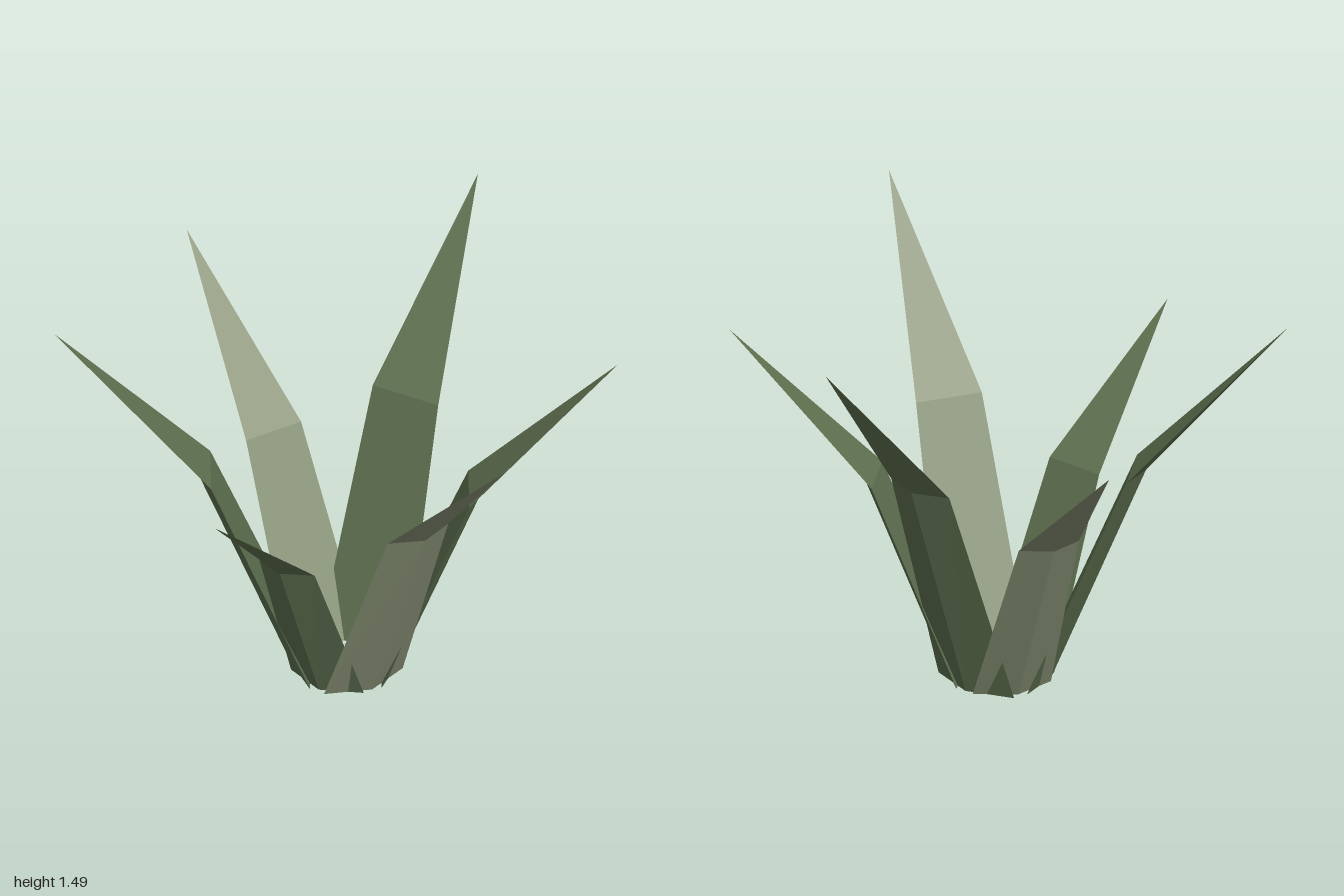
import * as THREE from 'three';

// Base ring shared by all leaves
const CENTRE = { x: -0.02, z: -0.02 };
const BASE_RADIUS = 0.125;

// Tip position, then radius, height and half width at the bend
const LEAVES = [
  { tip: [0.93, 1.49, -0.14], bend: [0.435, 0.87, 0.13] },
  { tip: [0.55, 1.25, 0.74], bend: [0.43, 0.73, 0.115] },
  { tip: [-0.46, 1.45, 0.99], bend: [0.5, 0.84, 0.122], pale: true },
  { tip: [-0.93, 1.11, 0.08], bend: [0.41, 0.65, 0.112] },
  { tip: [-0.63, 1.4, -0.83], bend: [0.468, 0.82, 0.12] },
  { tip: [0.39, 1.21, -1.0], bend: [0.48, 0.7, 0.112], pale: true },
];

// Triangular section: flat inner side, keel on the outer side
function section(halfWidth, y, radius, keel) {
  return [[-halfWidth, y, radius], [0, y, radius + keel], [halfWidth, y, radius]];
}

// Leaf growing outward along +z: base section, bend section, pointed tip
function leafGeometry([bendRadius, bendY, halfWidth], tipRadius, tipY) {
  const base = section(halfWidth * 1.3, 0, BASE_RADIUS, 0.06);
  const bend = section(halfWidth, bendY, bendRadius, 0.05);
  const tip = [0, tipY, tipRadius];
  const corners = [base[0], base[2], base[1]];
  for (let i = 0; i < 3; i++) {
    const j = (i + 1) % 3;
    corners.push(base[i], base[j], bend[j], base[i], bend[j], bend[i]);
    corners.push(bend[i], bend[j], tip);
  }
  const geometry = new THREE.BufferGeometry();
  geometry.setAttribute('position', new THREE.Float32BufferAttribute(corners.flat(), 3));
  geometry.computeVertexNormals();
  return geometry;
}

export function createModel() {
  const green = new THREE.MeshStandardMaterial({ color: 0x5f7150 });
  green.name = 'leafGreen';
  const pale = new THREE.MeshStandardMaterial({ color: 0x889276 });
  pale.name = 'paleOlive';

  const plant = new THREE.Group();
  plant.name = 'spikyPlant';
  LEAVES.forEach((leaf, i) => {
    const dx = leaf.tip[0] - CENTRE.x;
    const dz = leaf.tip[2] - CENTRE.z;
    const geometry = leafGeometry(leaf.bend, Math.hypot(dx, dz), leaf.tip[1]);
    const mesh = new THREE.Mesh(geometry, leaf.pale ? pale : green);
    mesh.name = `leaf${i + 1}`;
    mesh.position.set(CENTRE.x, 0, CENTRE.z);
    mesh.rotation.y = Math.atan2(dx, dz);
    plant.add(mesh);
  });
  return plant;
}
